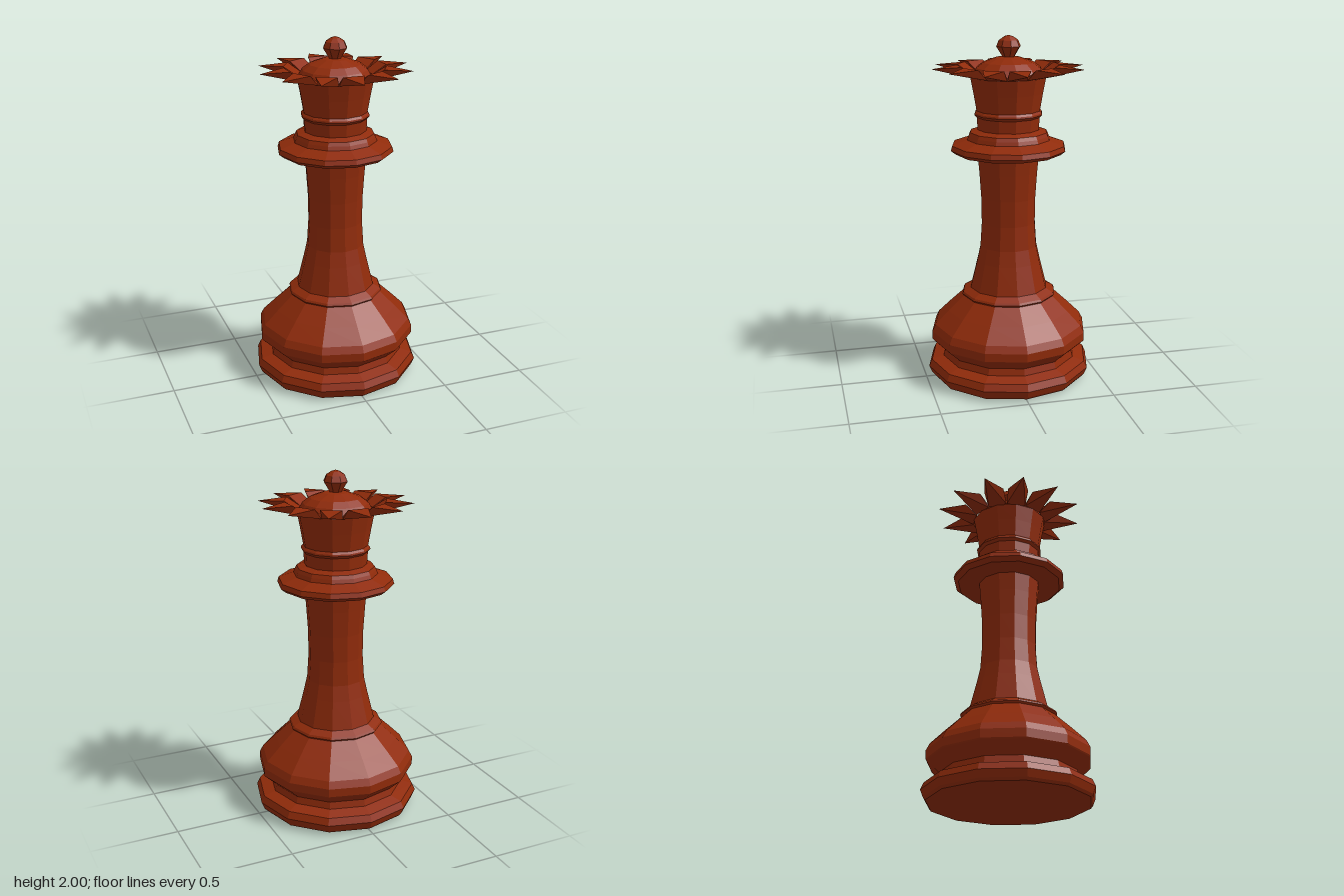
import * as THREE from 'three';

const wood = new THREE.MeshStandardMaterial({ color: 0x902b0a });
wood.name = 'reddish brown wood';

// Faceted mesh: every face gets its own flat normal
function faceted(name, geometry) {
  const flat = geometry.toNonIndexed();
  flat.computeVertexNormals();
  const mesh = new THREE.Mesh(flat, wood);
  mesh.name = name;
  return mesh;
}

// Turned part from [radius, height] pairs, listed bottom to top
function turned(name, profile, sides = 12) {
  const points = profile.map(([r, y]) => new THREE.Vector2(r, y));
  return faceted(name, new THREE.LatheGeometry(points, sides));
}

// One crown point aimed at +z: inward-sloping lip, flat blade, pointed tip
function crownPoint() {
  const corners = [
    [-0.053, 1.785, 0.203], [0.053, 1.785, 0.203], // 0 1 inner lip
    [-0.06, 1.835, 0.28], [0.06, 1.835, 0.28],     // 2 3 raised lip
    [-0.056, 1.772, 0.212], [0.056, 1.772, 0.212], // 4 5 underside root
    [0, 1.822, 0.435],                             // 6 tip
  ];
  const faces = [
    0, 3, 1, 0, 2, 3, // lip
    2, 6, 3,          // blade top
    4, 5, 6,          // underside
    1, 3, 5, 5, 3, 6, // +x side
    0, 4, 2, 4, 6, 2, // -x side
    0, 5, 4, 0, 1, 5, // root
  ];
  const geometry = new THREE.BufferGeometry();
  geometry.setAttribute('position', new THREE.Float32BufferAttribute(corners.flat(), 3));
  geometry.setIndex(faces);
  return geometry;
}

export function createModel() {
  const model = new THREE.Group();
  model.name = 'chessQueen';

  model.add(
    turned('foot', [
      [0, 0], [0.455, 0.01], [0.467, 0.025], [0.483, 0.065], [0.465, 0.105], [0.395, 0.125],
    ]),
    turned('base', [
      [0.395, 0.125], [0.385, 0.165], [0.455, 0.23], [0.46, 0.237], [0.46, 0.285],
      [0.44, 0.325], [0.36, 0.405], [0.268, 0.492],
    ]),
    turned('baseRing', [[0.268, 0.492], [0.277, 0.503], [0.27, 0.515], [0.225, 0.54]]),
    turned('shaft', [
      [0.228, 0.535], [0.187, 0.7], [0.167, 0.79], [0.158, 0.93], [0.16, 1.08],
      [0.17, 1.23], [0.18, 1.34],
    ]),
    turned('collar', [
      [0.17, 1.335], [0.305, 1.338], [0.333, 1.36], [0.325, 1.388], [0.235, 1.42],
    ]),
    turned('collarStep', [[0.24, 1.418], [0.232, 1.44], [0.222, 1.46], [0.178, 1.475]]),
    turned('head', [
      [0.178, 1.47], [0.182, 1.545], [0.196, 1.56], [0.194, 1.57], [0.183, 1.582],
      [0.2, 1.68], [0.218, 1.772], [0.204, 1.787],
    ]),
    turned('dome', [
      [0.205, 1.785], [0.185, 1.82], [0.145, 1.85], [0.07, 1.877], [0, 1.885],
    ]),
    turned('knob', [
      [0.03, 1.87], [0.04, 1.89], [0.07, 1.938], [0.055, 1.972], [0.025, 1.992], [0, 2],
    ], 8),
  );

  // Ring of twelve crown points
  const crown = new THREE.Group();
  crown.name = 'crown';
  for (let i = 0; i < 12; i++) {
    const point = faceted('crownPoint', crownPoint());
    point.rotation.y = (i * Math.PI) / 6;
    crown.add(point);
  }
  model.add(crown);
  return model;
}
